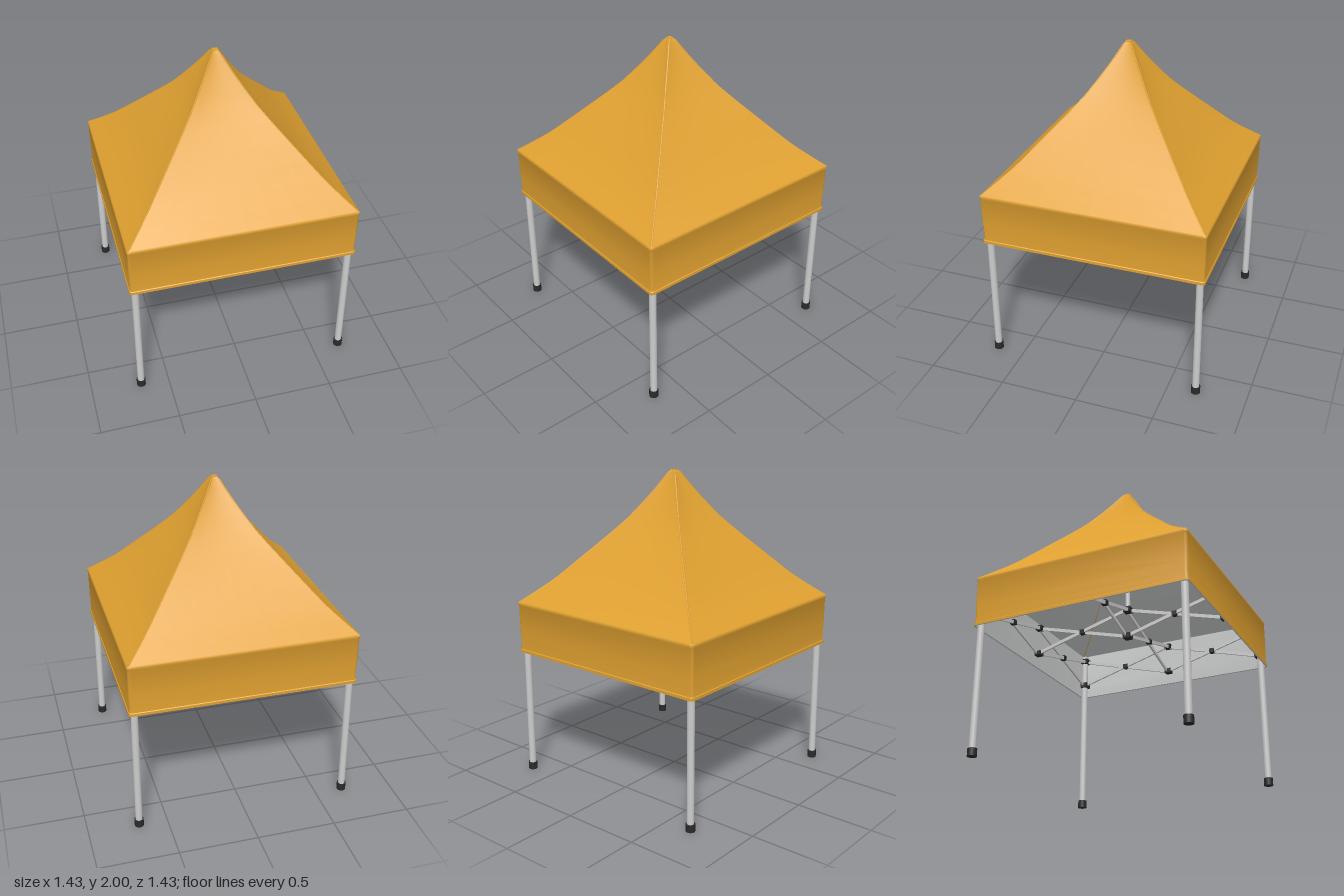
import * as THREE from 'three';
import { toCreasedNormals } from 'three/addons/utils/BufferGeometryUtils.js';

// Surface from a grid of points; flip turns it to face inwards
function gridGeometry(rows, flip) {
  const n = rows[0].length, index = [];
  for (let j = 0; j < rows.length - 1; j++) {
    for (let i = 0; i < n - 1; i++) {
      const a = j * n + i, b = a + 1, c = a + n, d = c + 1;
      if (flip) index.push(a, c, b, b, c, d);
      else index.push(a, b, c, b, d, c);
    }
  }
  const g = new THREE.BufferGeometry();
  g.setAttribute('position', new THREE.Float32BufferAttribute(rows.flat(2), 3));
  g.setIndex(index);
  g.computeVertexNormals();
  return g;
}

// Half width and height of the roof, eaves to peak
const ROOF = [[0.715, 1.16], [0.63, 1.235], [0.55, 1.31], [0.46, 1.41], [0.37, 1.512], [0.28, 1.615],
  [0.21, 1.7], [0.15, 1.787], [0.095, 1.872], [0.055, 1.94], [0.03, 1.983], [0.016, 1.998]];

// One of the four roof faces, sagging a little between the ridges
function roofPanel(inset, flip) {
  const rows = ROOF.map(([w, y], j) => {
    const h = Math.max(w - inset, 0.004);
    const sag = 0.012 * Math.sin(Math.PI * j / (ROOF.length - 1));
    return Array.from({ length: 9 }, (_, i) => {
      const u = i / 4 - 1;
      return [u * h, y - inset * 0.3, h - sag * (1 - u * u)];
    });
  });
  return gridGeometry(rows, flip);
}

// Closed square outline with rounded corners
function roundedSquare(h, y, r = 0.018) {
  const pts = [];
  for (let c = 0; c < 4; c++) {
    for (let k = 0; k <= 4; k++) {
      const a = (c + k / 4) * Math.PI / 2, m = c * Math.PI / 2 + Math.PI / 4;
      pts.push([Math.sign(Math.cos(m)) * (h - r) + r * Math.cos(a), y,
        -Math.sign(Math.sin(m)) * (h - r) - r * Math.sin(a)]);
    }
  }
  pts.push(pts[0]);
  return pts;
}

function band(profile, flip) {
  return toCreasedNormals(gridGeometry(profile.map(([h, y]) => roundedSquare(h, y)), flip), 0.6);
}

export function createModel() {
  const model = new THREE.Group();
  const material = (name, color) => {
    const m = new THREE.MeshStandardMaterial({ color });
    m.name = name;
    return m;
  };
  const fabric = material('amber fabric', 0xdfa030);
  const lining = material('grey lining', 0xc9cbcb);
  const metal = material('light metal', 0xcccccc);
  const plastic = material('black plastic', 0x2a2a2a);

  const add = (name, geometry, mat, x = 0, y = 0, z = 0) => {
    const m = new THREE.Mesh(geometry, mat);
    m.name = name;
    m.position.set(x, y, z);
    model.add(m);
    return m;
  };

  // Roof faces, their lining and the ridge seams
  const outer = roofPanel(0, false), inner = roofPanel(0.008, true);
  const ridge = new THREE.CatmullRomCurve3(ROOF.map(([w, y]) => new THREE.Vector3(w - 0.004, y - 0.002, w - 0.004)));
  const seam = new THREE.TubeGeometry(ridge, 36, 0.006, 6);
  for (let i = 0; i < 4; i++) {
    const turn = i * Math.PI / 2;
    add('roofPanel', outer, fabric).rotation.y = turn;
    add('roofLining', inner, lining).rotation.y = turn;
    add('ridgeSeam', seam, fabric).rotation.y = turn;
  }
  add('peakCap', new THREE.BoxGeometry(0.034, 0.006, 0.034), fabric, 0, 1.997, 0);

  // Valance with a hem at the bottom and a seam at the eaves
  const valance = [[0.717, 0.83], [0.717, 0.848], [0.713, 0.852], [0.711, 0.9], [0.714, 0.96],
    [0.715, 1.14], [0.717, 1.144], [0.717, 1.158], [0.712, 1.166]];
  add('valance', band(valance, false), fabric);
  add('valanceLining', band([[0.717, 0.83], [0.707, 0.831], [0.705, 0.9], [0.707, 1.155]], true), lining);

  // Legs with feet and corner brackets
  const LEG = 0.68, HIGH = 1.1, LOW = 0.91;
  const leg = new THREE.CylinderGeometry(0.022, 0.022, 1.12, 20);
  const foot = new THREE.CylinderGeometry(0.029, 0.029, 0.048, 20);
  const bracket = new THREE.BoxGeometry(0.05, 0.035, 0.05);
  const hub = new THREE.BoxGeometry(0.045, 0.03, 0.045);
  for (const x of [-LEG, LEG]) {
    for (const z of [-LEG, LEG]) {
      add('leg', leg, metal, x, 0.58, z);
      add('foot', foot, plastic, x, 0.024, z);
      for (const y of [HIGH, LOW]) {
        add('cornerBracket', bracket, plastic, x - Math.sign(x) * 0.008, y, z - Math.sign(z) * 0.008);
      }
    }
  }

  // Centre pole holding up the peak
  add('centrePole', new THREE.CylinderGeometry(0.016, 0.016, 0.87, 16), metal, 0, 1.525, 0);
  for (const y of [HIGH, LOW]) add('centreHub', bracket, plastic, 0, y, 0);

  // Scissor truss: two crossing bars between two plan points, with a pivot
  const bar = (a, b) => {
    const m = add('scissorBar', new THREE.BoxGeometry(0.012, 0.022, a.distanceTo(b)), metal);
    m.position.copy(a).lerp(b, 0.5);
    m.lookAt(b);
  };
  const scissor = (x0, z0, x1, z1) => {
    const side = new THREE.Vector3(z1 - z0, 0, x0 - x1).normalize().multiplyScalar(0.007);
    const point = (x, y, z, s) => new THREE.Vector3(x, y, z).addScaledVector(side, s);
    bar(point(x0, HIGH, z0, 1), point(x1, LOW, z1, 1));
    bar(point(x0, LOW, z0, -1), point(x1, HIGH, z1, -1));
    const pivot = add('scissorPivot', new THREE.BoxGeometry(0.034, 0.03, 0.034), plastic,
      (x0 + x1) / 2, (HIGH + LOW) / 2, (z0 + z1) / 2);
    pivot.rotation.y = Math.atan2(x1 - x0, z1 - z0);
  };
  const E = 0.672;
  for (const s of [-1, 1]) {
    for (const t of [-1, 1]) {
      scissor(t * E, s * E, 0, s * E);
      scissor(s * E, t * E, s * E, 0);
    }
    scissor(0, 0, s * E, 0);
    scissor(0, 0, 0, s * E);
    for (const y of [HIGH, LOW]) {
      add('sideHub', hub, plastic, s * E, y, 0);
      add('sideHub', hub, plastic, 0, y, s * E);
    }
  }
  return model;
}
